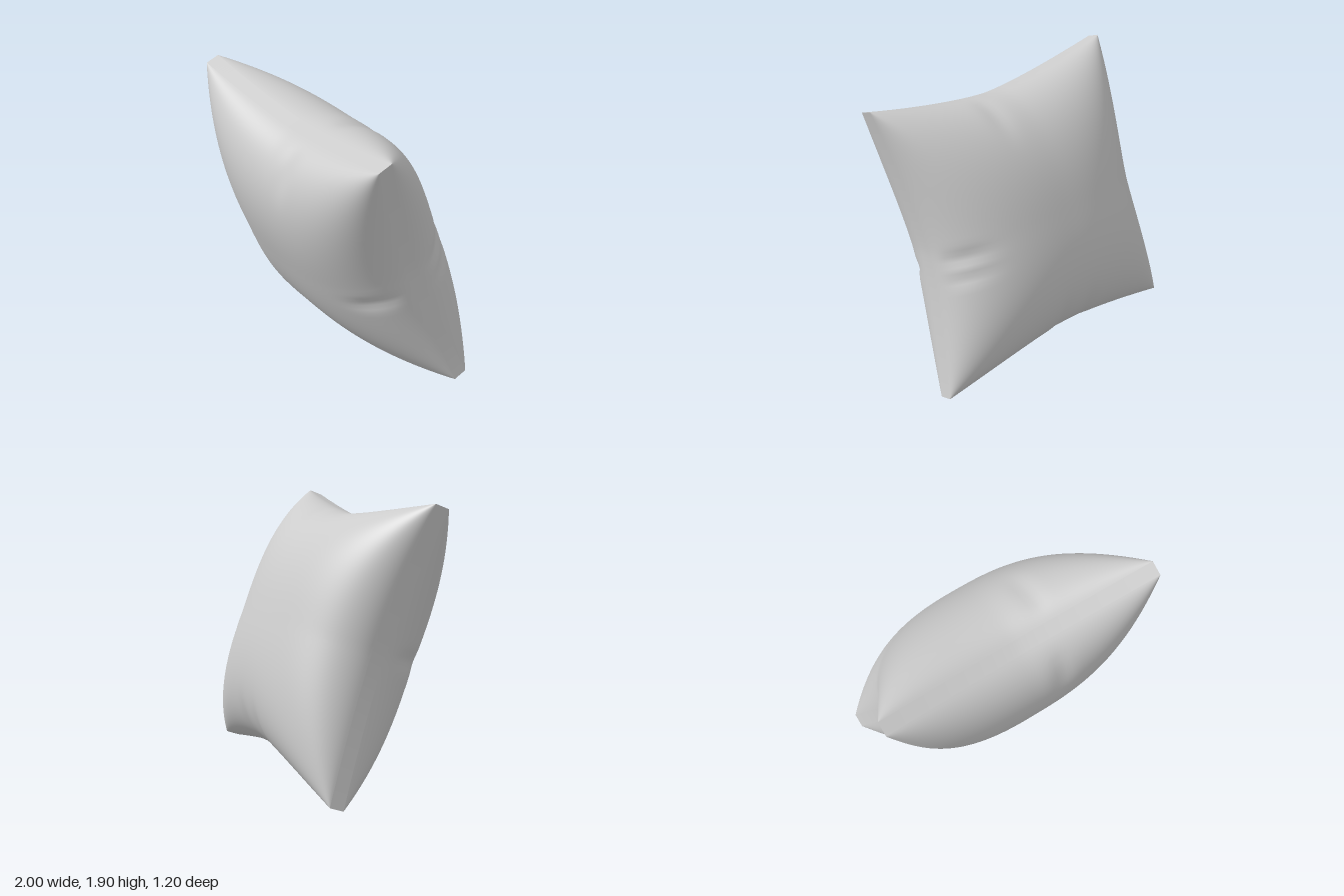
import * as THREE from 'three';

const material = new THREE.MeshStandardMaterial({ color: 0xcccccc });
const SEAM = 0.05;   // half width of the edge band
const PUFF = 0.46;   // height of the filling above the band
const TILT = 0.366;  // backward lean of the whole cushion

// Concave outline: how far an edge reaches at position t along it
const reach = (t) => 1 - 0.145 * (1 - Math.pow(Math.abs(t), 1.5));
const falloff = (t) => Math.max(0, 1 - Math.pow(Math.abs(t), 2.6));
const ease = (a) => Math.sin((a * Math.PI) / 2);

// Soft folds running inward from an edge: [side, position, depth, width]
function foldDepth(s, t, folds) {
  let d = 0;
  for (const [side, at, depth, width] of folds) {
    const across = { left: s, right: -s, top: t, bottom: -t }[side];
    const along = side === 'left' || side === 'right' ? t : s;
    const inward = Math.exp(-Math.pow((across - 0.9) / 0.16, 2));
    d += depth * inward * Math.exp(-Math.pow((along - at) / width, 2));
  }
  return d;
}

// One puffed panel, facing +z
function panel(name, folds) {
  const geo = new THREE.PlaneGeometry(2, 2, 80, 80);
  const pos = geo.attributes.position;
  for (let i = 0; i < pos.count; i++) {
    const s = ease(pos.getX(i));
    const t = ease(pos.getY(i));
    const lift = Math.sqrt(falloff(s) * falloff(t));
    const edge = Math.min(1, lift * 3);
    const z = SEAM + PUFF * lift - edge * foldDepth(s, t, folds);
    pos.setXYZ(i, s * reach(t), t * reach(s), z);
  }
  geo.computeVertexNormals();
  const mesh = new THREE.Mesh(geo, material);
  mesh.name = name;
  return mesh;
}

// Flat band along one edge, bent to the concave outline
function bandSide() {
  const geo = new THREE.PlaneGeometry(2, 2 * SEAM, 80, 1).rotateX(-Math.PI / 2);
  const pos = geo.attributes.position;
  for (let i = 0; i < pos.count; i++) {
    const s = ease(pos.getX(i));
    pos.setXYZ(i, s, reach(s), pos.getZ(i));
  }
  geo.computeVertexNormals();
  return geo;
}

export function createModel() {
  const model = new THREE.Group();
  model.name = 'cushion';

  const body = new THREE.Group();
  body.name = 'cushionBody';
  body.rotation.x = TILT;
  body.position.y = Math.cos(TILT) + SEAM * Math.sin(TILT);
  model.add(body);

  // Front and back panels with their folds
  body.add(panel('frontPanel', [
    ['left', -0.14, 0.03, 0.05], ['right', 0.02, 0.03, 0.06],
    ['top', 0.2, 0.02, 0.07], ['bottom', -0.2, 0.015, 0.05], ['bottom', 0.1, 0.015, 0.05],
  ]));
  const back = panel('backPanel', [
    ['right', -0.06, 0.03, 0.05], ['right', -0.2, 0.02, 0.04],
    ['top', -0.25, 0.02, 0.07], ['bottom', 0.15, 0.015, 0.05], ['bottom', -0.1, 0.015, 0.05],
  ]);
  back.rotation.y = Math.PI;
  body.add(back);

  // Edge band on all four sides
  const bandGeo = bandSide();
  ['topBand', 'rightBand', 'bottomBand', 'leftBand'].forEach((name, k) => {
    const band = new THREE.Mesh(bandGeo, material);
    band.name = name;
    band.rotation.z = (k * Math.PI) / 2;
    body.add(band);
  });

  return model;
}
